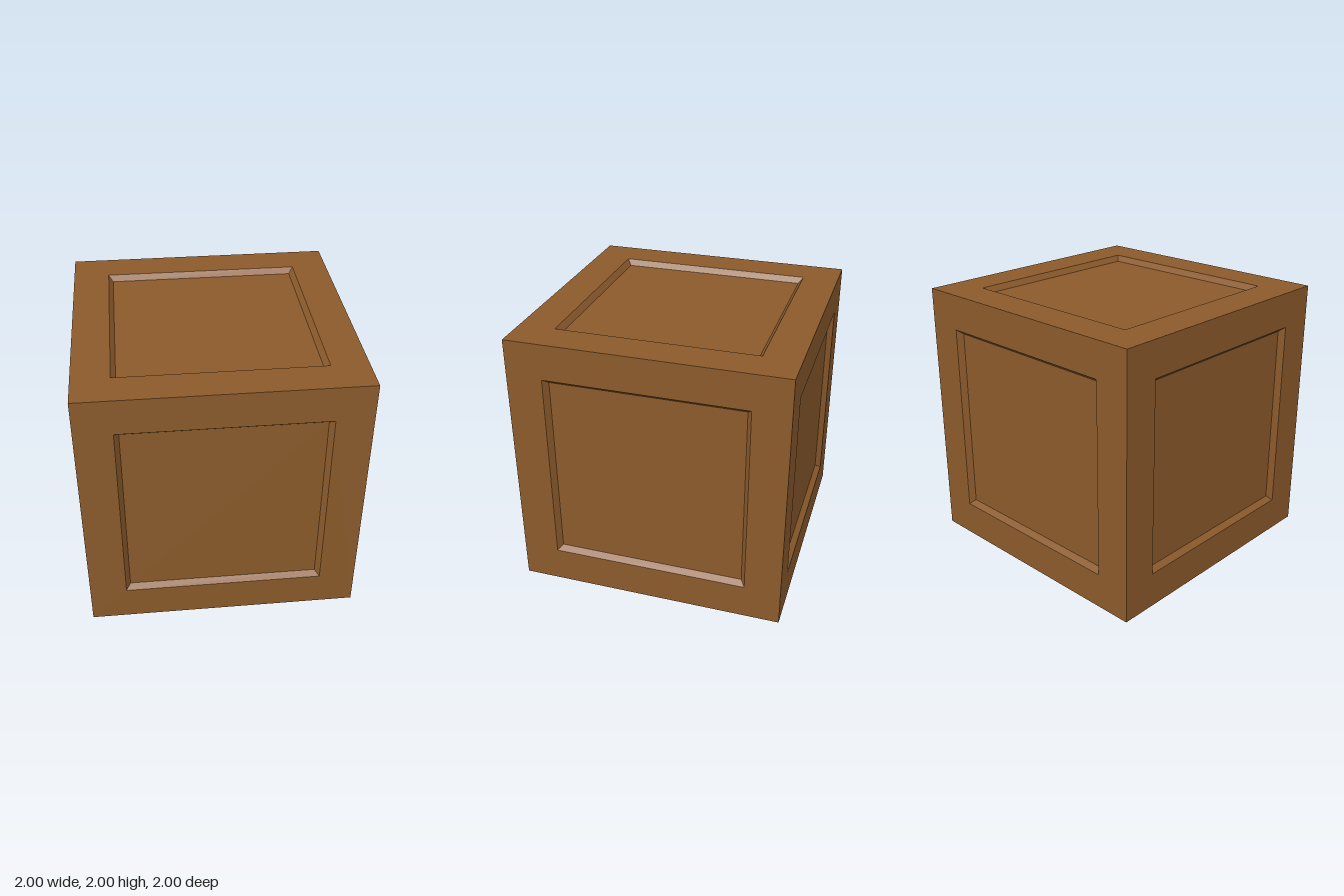
import * as THREE from 'three';

const DEPTH = 0.042; // how far each panel is sunk

// Flat-shaded band between two concentric squares, each given as [half size, height]
function squareBand([outer, zOuter], [inner, zInner]) {
  const corners = [[-1, -1], [1, -1], [1, 1], [-1, 1]];
  const positions = [];
  corners.forEach(([ax, ay], i) => {
    const [bx, by] = corners[(i + 1) % 4];
    const a = [ax * outer, ay * outer, zOuter];
    const b = [bx * outer, by * outer, zOuter];
    const c = [bx * inner, by * inner, zInner];
    const d = [ax * inner, ay * inner, zInner];
    positions.push(...a, ...b, ...c, ...a, ...c, ...d);
  });
  const geometry = new THREE.BufferGeometry();
  geometry.setAttribute('position', new THREE.Float32BufferAttribute(positions, 3));
  geometry.computeVertexNormals();
  return geometry;
}

export function createModel() {
  const model = new THREE.Group();
  model.name = 'crate';
  const wood = new THREE.MeshStandardMaterial({ name: 'brown wood', color: 0x8b5a2b });

  // Parts of one side, facing +z
  const parts = {
    frame: squareBand([1, 1], [0.733, 1]),
    bevel: squareBand([0.733, 1], [0.7, 1 - DEPTH]),
    panel: new THREE.PlaneGeometry(1.4, 1.4).translate(0, 0, 1 - DEPTH),
  };

  // Six identical sides turned around the centre
  const q = Math.PI / 2;
  const sides = {
    front: [0, 0], left: [0, q], back: [0, 2 * q], right: [0, -q], top: [-q, 0], bottom: [q, 0],
  };
  for (const [side, [rx, ry]] of Object.entries(sides)) {
    const group = new THREE.Group();
    group.name = `${side}Side`;
    for (const [part, geometry] of Object.entries(parts)) {
      const mesh = new THREE.Mesh(geometry, wood);
      mesh.name = part;
      group.add(mesh);
    }
    group.rotation.set(rx, ry, 0);
    group.position.y = 1;
    model.add(group);
  }
  return model;
}
